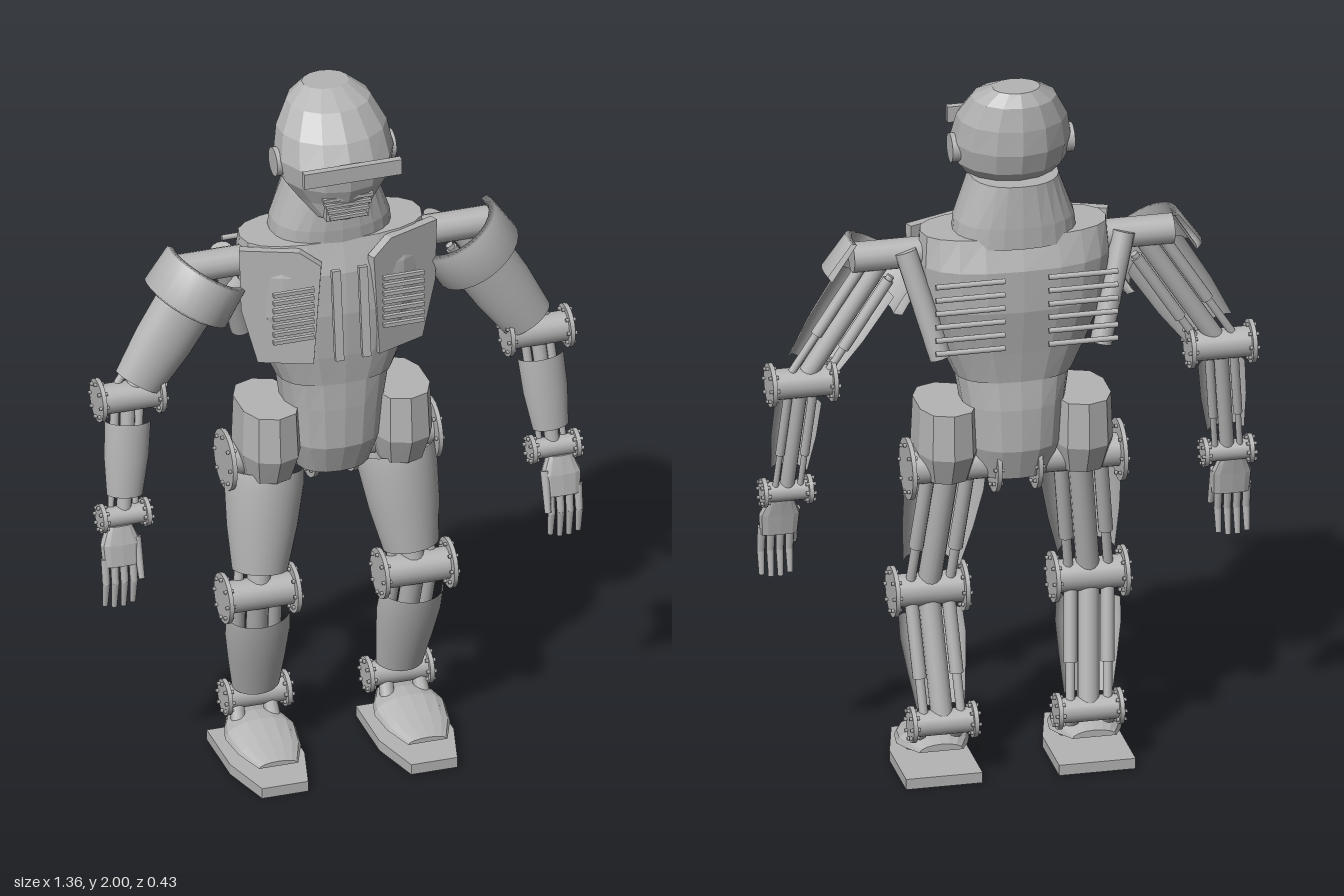
import * as THREE from 'three';

const V = (x, y, z) => new THREE.Vector3(x, y, z);
const metal = new THREE.MeshStandardMaterial({ color: 0xb4b4b4, side: THREE.DoubleSide });
metal.name = 'grey metal';

function add(parent, name, geometry, x = 0, y = 0, z = 0) {
  const m = new THREE.Mesh(geometry, metal);
  m.name = name;
  m.position.set(x, y, z);
  parent.add(m);
  return m;
}

// Capped faceted skin through a list of point rings
function loft(rings) {
  const pos = [], n = rings[0].length;
  const tri = (...p) => p.forEach(v => pos.push(v.x, v.y, v.z));
  for (let j = 0; j < rings.length - 1; j++) {
    for (let i = 0; i < n; i++) {
      const k = (i + 1) % n, a = rings[j], b = rings[j + 1];
      tri(a[i], a[k], b[k]);
      tri(a[i], b[k], b[i]);
    }
  }
  [rings[0], rings[rings.length - 1]].forEach((r, end) => {
    const c = r.reduce((s, p) => s.add(p), V(0, 0, 0)).divideScalar(n);
    for (let i = 0; i < n; i++) {
      const k = (i + 1) % n;
      if (end) tri(c, r[i], r[k]); else tri(c, r[k], r[i]);
    }
  });
  const g = new THREE.BufferGeometry();
  g.setAttribute('position', new THREE.Float32BufferAttribute(pos, 3));
  g.computeVertexNormals();
  return g;
}

// Stack of rounded sections: [y, half width, back z, front z]
function stack(sections, sides, power = 2) {
  const bend = c => Math.sign(c) * Math.abs(c) ** (2 / power);
  return loft(sections.map(([y, rx, z0, z1]) => Array.from({ length: sides }, (_, i) => {
    const t = i / sides * Math.PI * 2;
    return V(rx * bend(Math.sin(t)), y, (z0 + z1) / 2 + (z1 - z0) / 2 * bend(Math.cos(t)));
  })));
}

function rod(parent, name, a, b, r, r2 = r, sides = 14) {
  const d = b.clone().sub(a);
  const m = add(parent, name, new THREE.CylinderGeometry(r2, r, d.length(), sides));
  m.position.copy(a).addScaledVector(d, 0.5);
  m.quaternion.setFromUnitVectors(V(0, 1, 0), d.normalize());
  return m;
}

// Axle along x with bolted end discs
function joint(parent, name, c, half, r, discR) {
  const g = new THREE.Group();
  g.name = name;
  g.position.copy(c);
  parent.add(g);
  rod(g, 'axle', V(-half, 0, 0), V(half, 0, 0), r, r, 20);
  for (const s of [-1, 1]) {
    rod(g, 'endDisc', V(s * (half - 0.012), 0, 0), V(s * half, 0, 0), discR, discR, 24);
    for (let i = 0; i < 8; i++) {
      const t = i / 8 * Math.PI * 2, y = Math.cos(t) * discR * 0.8, z = Math.sin(t) * discR * 0.8;
      rod(g, 'bolt', V(s * (half - 0.02), y, z), V(s * (half + 0.008), y, z), 0.005, 0.005, 6);
    }
  }
}

// Limb between two joints: open front shell over bare struts.
// Shell profile is [fraction along limb, radius].
function limb(parent, name, bottom, top, profile, depth, strut) {
  const g = new THREE.Group(), y = top.clone().sub(bottom), L = y.length();
  y.normalize();
  const z = V(1, 0, 0).cross(y).normalize(), x = y.clone().cross(z);
  g.quaternion.setFromRotationMatrix(new THREE.Matrix4().makeBasis(x, y, z));
  g.position.copy(bottom);
  g.name = name;
  parent.add(g);
  const pts = profile.map(([f, r]) => new THREE.Vector2(r, f * L));
  const shell = new THREE.LatheGeometry(pts, 18, -Math.PI / 2, Math.PI);
  add(g, 'frontShell', shell.scale(1, 1, depth));
  rod(g, 'mainStrut', V(0, 0, 0), V(0, L, 0), strut);
  for (const s of [-1, 1]) {
    rod(g, 'sidePiston', V(s * strut * 1.7, L * 0.04, -0.008), V(s * strut * 1.7, L * 0.95, -0.008), strut * 0.42);
    rod(g, 'pistonSleeve', V(s * strut * 1.7, L * 0.35, -0.008), V(s * strut * 1.7, L * 0.92, -0.008), strut * 0.62);
  }
  return [g, L];
}

function buildHead(root) {
  add(root, 'helmet', stack([
    [1.67, 0.07, 0.0, 0.105], [1.72, 0.115, -0.1, 0.115], [1.77, 0.152, -0.15, 0.135],
    [1.83, 0.162, -0.168, 0.143], [1.9, 0.15, -0.168, 0.105], [1.965, 0.115, -0.158, 0.045],
    [2.0, 0.065, -0.135, -0.03]], 14));
  add(root, 'visor', new THREE.BoxGeometry(0.275, 0.045, 0.02), 0, 1.835, 0.148);
  add(root, 'mouthGuard', new THREE.BoxGeometry(0.12, 0.07, 0.06), 0, 1.71, 0.08);
  for (let i = 0; i < 4; i++)
    add(root, 'mouthBar', new THREE.BoxGeometry(0.14 - i * 0.012, 0.009, 0.04), 0, 1.743 - i * 0.019, 0.1);
  for (const s of [-1, 1]) rod(root, 'earDisc', V(s * 0.14, 1.81, -0.02), V(s * 0.168, 1.81, -0.02), 0.04, 0.04, 20);
  add(root, 'neck', stack([[1.56, 0.17, -0.17, 0.065], [1.62, 0.163, -0.17, 0.07], [1.74, 0.12, -0.165, 0.07]], 24, 2.3));
}

function buildTorso(root) {
  add(root, 'torso', stack([
    [1.16, 0.16, -0.14, 0.09], [1.25, 0.2, -0.155, 0.1], [1.38, 0.248, -0.18, 0.105],
    [1.5, 0.262, -0.182, 0.095], [1.585, 0.255, -0.15, 0.065]], 20, 2.5));
  add(root, 'pelvis', stack([
    [0.87, 0.1, -0.12, 0.05], [0.96, 0.13, -0.15, 0.085], [1.08, 0.142, -0.15, 0.09], [1.16, 0.155, -0.14, 0.09]], 18, 2.3));
  for (const s of [-1, 1]) {
    // Chest plate angled back towards the shoulder
    const corners = [[0, 1.54], [0.06, 1.58], [0.22, 1.58], [0.215, 1.4], [0.17, 1.24], [0.02, 1.24]];
    const shape = new THREE.Shape(corners.map(([x, y]) => new THREE.Vector2(s * x, y)));
    const plate = add(root, 'chestPlate', new THREE.ExtrudeGeometry(shape, { depth: 0.025, bevelEnabled: false }), s * 0.065, 0, 0.085);
    plate.rotation.y = s * 0.38;
    for (let i = 0; i < 7; i++)
      add(root, 'chestVent', new THREE.BoxGeometry(0.115, 0.011, 0.012), s * 0.155, 1.335 + i * 0.024, 0.117);
    const bar = add(root, 'chestBar', new THREE.BoxGeometry(0.024, 0.26, 0.016), s * 0.038, 1.4, 0.137);
    bar.rotation.x = -0.12;
    for (let i = 0; i < 6; i++)
      rod(root, 'backBar', V(s * 0.06, 1.295 + i * 0.039, -0.21), V(s * 0.25, 1.295 + i * 0.039, -0.21), 0.008, 0.008, 8);
    rod(root, 'backTube', V(s * 0.22, 1.25, -0.135), V(s * 0.3, 1.54, -0.065), 0.03);
    add(root, 'hipArmour', stack([
      [0.87, 0.065, -0.12, 0.065], [0.95, 0.085, -0.155, 0.1], [1.08, 0.08, -0.15, 0.09]], 10, 2.5), s * 0.185);
  }
}

function buildArm(root, s) {
  const shoulder = V(s * 0.36, 1.5, -0.03), elbow = V(s * 0.575, 1.165, -0.02), wrist = V(s * 0.605, 0.83, 0.03);
  rod(root, 'shoulderAxle', V(s * 0.2, 1.52, -0.03), V(s * 0.44, 1.52, -0.03), 0.042);
  const [arm, L] = limb(root, 'upperArm', elbow, shoulder, [[0.12, 0.072], [0.45, 0.086], [0.82, 0.09]], 0.75, 0.026);
  // Curved shoulder guard wrapped round the front of the arm
  const guard = [[0.105, -0.065], [0.128, -0.055], [0.122, 0.055], [0.105, 0.06], [0.105, -0.065]]
    .map(([r, y]) => new THREE.Vector2(r, y + L * 0.9));
  add(arm, 'shoulderGuard', new THREE.LatheGeometry(guard, 16, -Math.PI * 0.6, Math.PI * 1.2));
  joint(root, 'elbow', elbow, 0.09, 0.042, 0.06);
  limb(root, 'forearm', wrist, elbow, [[0.18, 0.05], [0.5, 0.062], [0.8, 0.064]], 0.8, 0.02);
  joint(root, 'wrist', wrist, 0.068, 0.028, 0.04);
  add(root, 'palm', stack([[0.7, 0.052, 0.035, 0.078], [0.76, 0.056, 0.025, 0.07], [0.81, 0.035, 0.015, 0.055]], 12, 3), s * 0.62);
  for (let i = 0; i < 4; i++) {
    const x = s * (0.588 + i * 0.026), tip = i === 0 || i === 3 ? 0.58 : 0.572;
    rod(root, 'fingerBase', V(x, 0.72, 0.057), V(x, 0.645, 0.068), 0.012, 0.011, 8);
    rod(root, 'fingerTip', V(x, 0.65, 0.068), V(x, tip, 0.058), 0.011, 0.008, 8);
  }
  rod(root, 'thumb', V(s * 0.575, 0.77, 0.05), V(s * 0.572, 0.66, 0.085), 0.013, 0.009, 8);
}

function buildLeg(root, s) {
  const hip = V(s * 0.18, 0.9, -0.055), knee = V(s * 0.22, 0.515, 0.012), ankle = V(s * 0.2, 0.16, -0.075);
  joint(root, 'hip', V(s * 0.173, 0.9, -0.055), 0.123, 0.045, 0.085);
  limb(root, 'thigh', knee, hip, [[0.18, 0.077], [0.5, 0.098], [0.8, 0.11], [0.92, 0.108]], 0.95, 0.032);
  joint(root, 'knee', knee, 0.102, 0.045, 0.07);
  limb(root, 'shin', ankle, knee, [[0.11, 0.066], [0.4, 0.08], [0.65, 0.09], [0.82, 0.088]], 0.78, 0.03);
  joint(root, 'ankle', ankle, 0.09, 0.035, 0.05);

  // Foot: six-sided sole below an arched cover
  const foot = new THREE.Group();
  foot.name = 'foot';
  foot.position.x = s * 0.21;
  root.add(foot);
  const outline = [[0.105, 0.14], [0.105, -0.06], [0.065, -0.213], [-0.065, -0.213], [-0.105, -0.06], [-0.105, 0.14]];
  const sole = new THREE.Shape(outline.map(([x, y]) => new THREE.Vector2(x, y)));
  add(foot, 'sole', new THREE.ExtrudeGeometry(sole, { depth: 0.03, bevelEnabled: false }).rotateX(-Math.PI / 2));
  // Cover sections: [z, half width, base y, height]
  const cover = [[-0.105, 0.06, 0.088, 0.02], [-0.05, 0.085, 0.082, 0.04], [0, 0.1, 0.076, 0.045], [0.08, 0.088, 0.068, 0.028], [0.158, 0.055, 0.06, 0.014]];
  add(foot, 'footCover', loft(cover.map(([z, w, y, h]) => Array.from({ length: 9 }, (_, i) => {
    const t = i / 8 * Math.PI;
    return V(w * Math.cos(t), y + h * Math.sin(t), z);
  }))));
  for (const k of [-1, 1]) {
    rod(foot, 'footPad', V(k * 0.055, 0.045, 0.04), V(k * 0.055, 0.085, 0.02), 0.012, 0.028, 10);
    rod(foot, 'ankleStrut', V(k * 0.05, 0.085, -0.03), V(k * 0.045, 0.16, -0.075), 0.02, 0.02, 10);
  }
}

export function createModel() {
  const root = new THREE.Group();
  root.name = 'robot';
  buildHead(root);
  buildTorso(root);
  for (const s of [-1, 1]) {
    buildArm(root, s);
    buildLeg(root, s);
  }
  return root;
}
